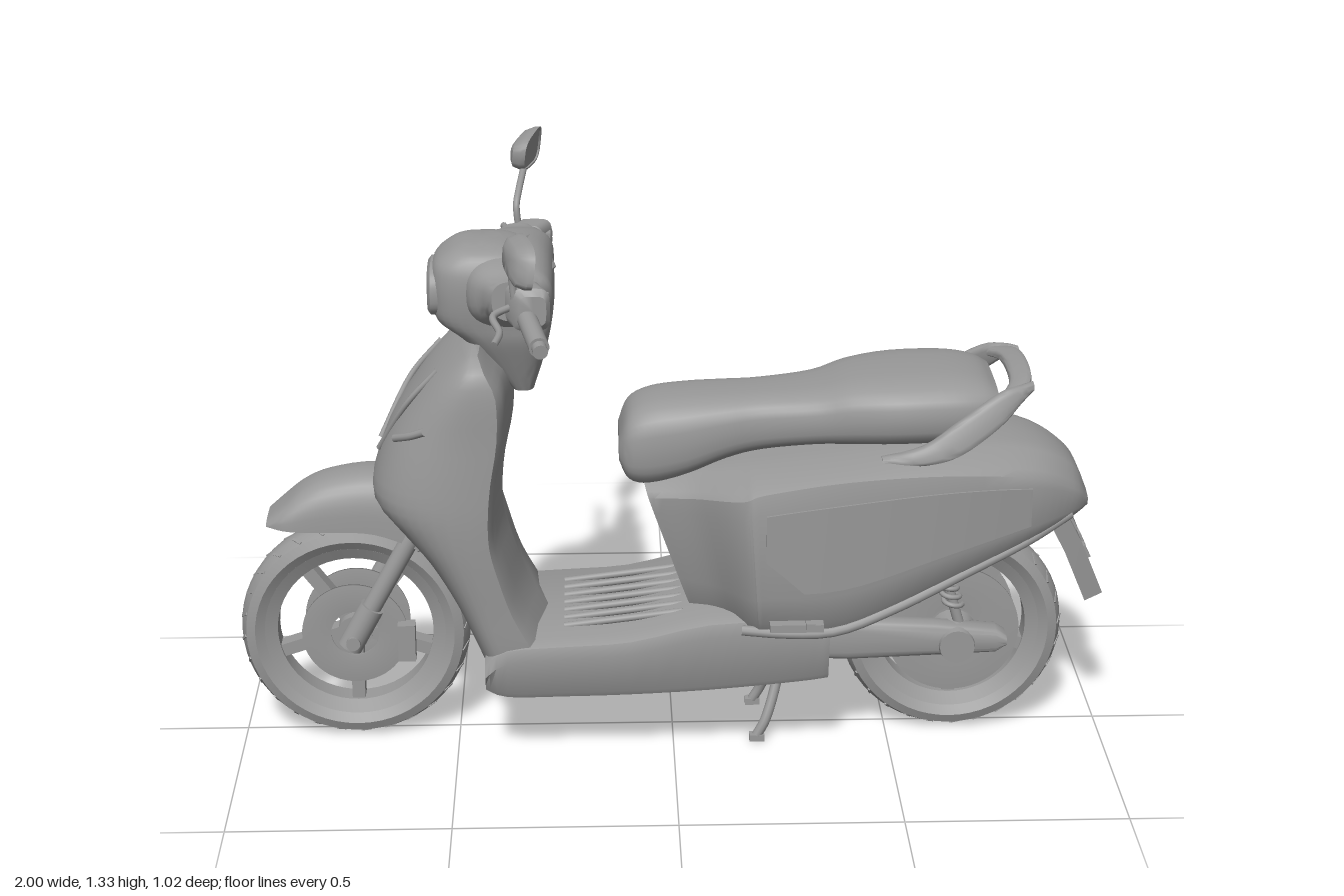
import * as THREE from 'three';
import { toCreasedNormals } from 'three/addons/utils/BufferGeometryUtils.js';

const grey = new THREE.MeshStandardMaterial({ color: 0x999999 });
grey.name = 'grey';
const V = (p) => new THREE.Vector3(...p);

// Capped skin over equal-sized rings of points, always facing outward
function loft(rings, crease = 0.7) {
  const n = rings[0].length, pos = [], idx = [];
  rings.forEach((r) => r.forEach((p) => pos.push(...p)));
  for (let i = 0; i < rings.length - 1; i++) for (let j = 0; j < n; j++) {
    const a = i * n + j, b = i * n + (j + 1) % n;
    idx.push(a, b, a + n, b, b + n, a + n);
  }
  [rings[0], rings[rings.length - 1]].forEach((r, end) => {
    const c = pos.length / 3, base = end ? (rings.length - 1) * n : 0;
    pos.push(...[0, 1, 2].map((k) => r.reduce((t, p) => t + p[k], 0) / n));
    for (let j = 0; j < n; j++) {
      const a = base + j, b = base + (j + 1) % n;
      end ? idx.push(c, a, b) : idx.push(c, b, a);
    }
  });
  const at = (i) => new THREE.Vector3().fromArray(pos, i * 3);
  let volume = 0;
  for (let i = 0; i < idx.length; i += 3) volume += at(idx[i]).dot(at(idx[i + 1]).cross(at(idx[i + 2])));
  if (volume < 0) idx.reverse();
  const g = new THREE.BufferGeometry();
  g.setAttribute('position', new THREE.Float32BufferAttribute(pos, 3));
  g.setIndex(idx);
  return toCreasedNormals(g, crease);
}

// Smooth interpolation between rows of section sizes
function smooth(rows, steps = 4) {
  const out = [], m = rows.length - 1;
  for (let i = 0; i < m; i++) for (let k = 0; k < steps; k++) {
    const t = k / steps, [a, b, c, d] = [rows[Math.max(i - 1, 0)], rows[i], rows[i + 1], rows[Math.min(i + 2, m)]];
    out.push(b.map((v, q) => v + 0.5 * t * (c[q] - a[q] + t * (2 * a[q] - 5 * v + 4 * c[q] - d[q] + t * (3 * (v - c[q]) + d[q] - a[q])))));
  }
  out.push(rows[m]);
  return out;
}

// Points of a rounded-box curve, as [u, v] in -1..1
const oval = (e, n = 32) => Array.from({ length: n }, (_, i) => {
  const a = (i / n) * Math.PI * 2, f = (v) => Math.sign(v) * Math.abs(v) ** e;
  return [f(Math.cos(a)), f(Math.sin(a))];
});
// Quarter of a rounded-box curve, from [1, 0] to [0, 1]
const quarter = (e, n) => Array.from({ length: n + 1 }, (_, i) => {
  const a = (i / n) * Math.PI / 2;
  return [Math.max(0, Math.cos(a)) ** e, Math.sin(a) ** e];
});
// Mirrors a half outline that starts and ends on the centre line
const mirrored = (half) => [...half, ...half.slice(1, -1).reverse().map(([x, y, z]) => [x, y, -z])];
const tube = (pts, r, seg = 24) => new THREE.TubeGeometry(new THREE.CatmullRomCurve3(pts.map(V)), seg, r, 10);
function rod(a, b, r, r2 = r) {
  const p = V(a), q = V(b), d = q.clone().sub(p);
  const g = new THREE.CylinderGeometry(r2, r, d.length(), 20);
  g.applyQuaternion(new THREE.Quaternion().setFromUnitVectors(V([0, 1, 0]), d.normalize()));
  return g.translate(...p.add(q).multiplyScalar(0.5).toArray());
}
const box = (x, y, z, w, h, d) => new THREE.BoxGeometry(w, h, d).translate(x, y, z);
const lathe = (pts) => new THREE.LatheGeometry(pts.map((p) => new THREE.Vector2(...p)), 56).rotateX(Math.PI / 2);

export function createModel() {
  const model = new THREE.Group();
  const add = (name, geometry, parent = model) => {
    const mesh = new THREE.Mesh(geometry, grey);
    mesh.name = name;
    parent.add(mesh);
  };
  const both = (fn) => [1, -1].forEach((s) => fn(s, s > 0 ? 'left' : 'right'));

  // Wheels: tyre with tread, rim, hub, spokes and brake discs
  const wheel = (name, x, R, hub, disc) => {
    const g = new THREE.Group();
    g.name = name;
    g.position.set(x, R, 0);
    model.add(g);
    add('tyre', toCreasedNormals(lathe([[R - 0.062, -0.036], [R - 0.035, -0.053], [R - 0.014, -0.045], [R - 0.003, -0.022], [R, 0],
      [R - 0.003, 0.022], [R - 0.014, 0.045], [R - 0.035, 0.053], [R - 0.062, 0.036], [R - 0.062, -0.036]]), 0.7), g);
    add('rim', toCreasedNormals(lathe([[R - 0.085, -0.026], [R - 0.056, -0.04], [R - 0.056, 0.04], [R - 0.085, 0.026], [R - 0.085, -0.026]]), 0.5), g);
    add('hub', rod([0, 0, -0.045], [0, 0, 0.045], hub), g);
    add('axle', rod([0, 0, -0.11], [0, 0, 0.11], 0.016), g);
    for (let i = 0; i < 5; i++)
      add('spoke', box(0, (R - 0.07) / 2, 0, 0.03, R - 0.07, 0.04).rotateZ((i * Math.PI * 2) / 5 + Math.PI), g);
    both((s) => {
      add('brakeDisc', lathe([[0.055, -0.003], [disc, -0.003], [disc, 0.003], [0.055, 0.003], [0.055, -0.003]]).translate(0, 0, s * 0.047), g);
      for (let i = 0; i < 28; i++) add('tread', box(0, 0, 0, 0.006, 0.004, 0.03).rotateY(s * 0.6).rotateX(s * 0.4)
        .translate(0, R - 0.0075, s * 0.031).rotateZ(((i + s * 0.25) * Math.PI) / 14), g);
    });
  };
  wheel('frontWheel', -0.735, 0.265, 0.04, 0.122);
  wheel('rearWheel', 0.65, 0.258, 0.1, 0.155);

  // Front fork, caliper and fender
  both((s, side) => {
    add(side + 'ForkLeg', rod([-0.735, 0.265, s * 0.075], [-0.56, 0.58, s * 0.075], 0.022));
    add(side + 'ForkFoot', rod([-0.745, 0.245, s * 0.075], [-0.69, 0.345, s * 0.075], 0.029));
  });
  add('caliper', box(-0.615, 0.25, 0.06, 0.04, 0.09, 0.035));
  add('frontFender', loft(smooth([[-0.925, 0.538, 0.55, 0.055], [-0.885, 0.537, 0.585, 0.08], [-0.84, 0.535, 0.622, 0.086], [-0.78, 0.535, 0.648, 0.088],
    [-0.68, 0.53, 0.662, 0.09], [-0.58, 0.49, 0.645, 0.09], [-0.5, 0.43, 0.56, 0.08]]).map(([x, b, t, w]) =>
    mirrored([...quarter(0.65, 9).map(([v, u]) => [x, b + (t - b) * v, w * u]), [x, b, 0]]))));

  // Leg shield: rounded front, shallow back with raised centre
  add('legShield', loft(smooth([[0.985, -0.46, -0.44, -0.425, 0.165], [0.955, -0.5, -0.44, -0.4, 0.21], [0.9, -0.555, -0.44, -0.36, 0.224],
    [0.8, -0.625, -0.44, -0.36, 0.227], [0.7, -0.668, -0.45, -0.38, 0.232], [0.62, -0.68, -0.455, -0.388, 0.235],
    [0.55, -0.625, -0.455, -0.385, 0.234], [0.48, -0.565, -0.445, -0.365, 0.23], [0.38, -0.505, -0.42, -0.33, 0.222],
    [0.28, -0.46, -0.39, -0.27, 0.215], [0.18, -0.42, -0.36, -0.24, 0.2]], 3).map(([y, f, s, b, w]) =>
    mirrored([...quarter(0.8, 11).map(([u, v]) => [s + (f - s) * u, y, w * v]),
      [s + (b - s) * 0.6, y, w * 0.98], [s + (b - s) * 0.75, y, w * 0.88], [s + (b - s) * 0.8, y, w * 0.5], [b, y, 0]]))));
  add('keyLock', rod([-0.4, 0.9, -0.09], [-0.365, 0.91, -0.09], 0.016));
  both((s, side) => {
    add(side + 'FrontSignal', tube([[-0.62, 0.78, s * 0.129], [-0.584, 0.8, s * 0.17], [-0.55, 0.82, s * 0.198]], 0.009));
    add(side + 'FrontTrim', tube([[-0.522, 0.93, s * 0.105], [-0.592, 0.85, s * 0.094], [-0.663, 0.72, s * 0.033]], 0.007));
  });

  // Step-through floor with ribs
  add('floorboard', loft(smooth([[-0.43, 0.19, 0.27], [-0.38, 0.17, 0.305], [-0.25, 0.17, 0.315], [-0.1, 0.173, 0.325], [0.08, 0.182, 0.365],
    [0.28, 0.2, 0.37], [0.35, 0.21, 0.36]], 3).map(([x, b, t]) =>
    mirrored([[x, t, 0], [x, t, 0.19], [x, t - 0.012, 0.217], [x, t - 0.04, 0.225], [x, b + 0.012, 0.204], [x, b, 0.198], [x, b, 0]]))));
  for (let i = -3; i <= 3; i++) add('floorRib', rod([-0.25, 0.314, i * 0.042], [0.02, 0.347, i * 0.042], 0.008));

  // Rear body: x, half width, top, shoulder, bottom, forward lean, wheel arch
  const bodyRows = smooth([[-0.06, 0.115, 0.66, 0.62, 0.34, 0.35, 0], [0.045, 0.17, 0.68, 0.64, 0.335, 0.25, 0], [0.15, 0.268, 0.71, 0.67, 0.335, 0.1, 0],
    [0.2, 0.279, 0.72, 0.69, 0.333, 0.04, 0], [0.38, 0.272, 0.742, 0.715, 0.335, 0, 0.02], [0.6, 0.24, 0.755, 0.715, 0.43, 0, 0.09],
    [0.8, 0.182, 0.735, 0.685, 0.515, 0, 0.05], [0.905, 0.122, 0.68, 0.635, 0.56, 0, 0.01], [0.945, 0.075, 0.605, 0.595, 0.575, 0, 0]], 5);
  add('rearBody', loft(bodyRows.map(([x, w, t, sh, b, lean, arch]) => mirrored([[t, 0], [t, 0.4], [t - (t - sh) * 0.12, 0.58],
    [sh + (t - sh) * 0.3, 0.9], [sh, 0.97], [sh - (sh - b) * 0.12, 1], [b + (sh - b) * 0.3, 0.99], [b + (sh - b) * 0.12, 0.94], [b, 0.84],
    [b + arch, 0.5], [b + arch, 0]].map(([y, k]) => [x + lean * (0.63 - y), y, w * k]))), 0.5));

  // Raised side panels and lower trim that follow the body
  const section = (x) => {
    const i = Math.max(1, bodyRows.findIndex((r) => r[0] >= x)), a = bodyRows[i - 1], b = bodyRows[i];
    return a.map((v, k) => v + (b[k] - v) * (x - a[0]) / (b[0] - a[0]));
  };
  both((s, side) => {
    add(side + 'SidePanel', loft(Array.from({ length: 15 }, (_, i) => {
      const x = 0.2 + (i / 14) * 0.6, [, w, , sh, b] = section(x), e = Math.min(1, i / 2);
      const top = sh - (sh - b) * 0.13, low = b + (sh - b) * (0.56 - 0.22 * e), z = w + 0.005;
      return [[x, top, s * z], [x, low, s * z], [x, low, s * (z - 0.02)], [x, top, s * (z - 0.02)]];
    })));
    add(side + 'LowerTrim', tube([0.15, 0.25, 0.36, 0.5, 0.65, 0.8, 0.9].map((x) => {
      const [, w, , , b] = section(x);
      return [x, b + 0.015, s * w * 0.89];
    }), 0.012));
    add(side + 'FootPeg', box(0.27, 0.375, s * 0.265, 0.12, 0.018, 0.05));
    add(side + 'PegTip', box(0.3, 0.382, s * 0.285, 0.02, 0.014, 0.02));
  });

  // Seat
  add('seat', loft(smooth([[-0.122, 0.69, 0.75, 0.08], [-0.1, 0.645, 0.805, 0.107], [-0.05, 0.635, 0.832, 0.118], [0.03, 0.655, 0.842, 0.12],
    [0.12, 0.695, 0.846, 0.113], [0.2, 0.715, 0.85, 0.108], [0.32, 0.73, 0.862, 0.125], [0.4, 0.735, 0.885, 0.15], [0.5, 0.74, 0.897, 0.172],
    [0.62, 0.745, 0.9, 0.17], [0.69, 0.76, 0.89, 0.155], [0.725, 0.81, 0.87, 0.13]]).map(([x, b, t, w]) =>
    oval(0.65).map(([u, v]) => [x, (b + t) / 2 + v * (t - b) / 2, u * w]))));

  // Grab rail: tall thin blades joined by a flat bar
  both((s, side) => add(side + 'GrabBlade', loft(smooth([[0.46, 0.735, 0.185, 0.008], [0.55, 0.752, 0.2, 0.02], [0.63, 0.79, 0.195, 0.037],
    [0.72, 0.847, 0.17, 0.036], [0.77, 0.875, 0.145, 0.018], [0.8, 0.885, 0.12, 0.008]]).map(([x, y, z, h]) =>
    oval(0.6, 16).map(([u, v]) => [x, y + v * h, s * (z + u * 0.014 - v * h * 0.3)])))));
  add('grabBar', loft(smooth([[-0.14, 0.755, 0.876], [-0.09, 0.775, 0.884], [0, 0.78, 0.888], [0.09, 0.775, 0.884], [0.14, 0.755, 0.876]]).map(([z, x, y]) =>
    oval(0.6, 16).map(([u, v]) => [x + u * 0.025, y + v * 0.012 + u * 0.004, z]))));

  // Rear mudguard with tail light, plate and reflectors
  const tilt = (x, y, hw) => [[x - 0.03, y - 0.012, -hw], [x - 0.03, y - 0.012, hw], [x + 0.01, y + 0.008, hw], [x + 0.01, y + 0.008, -hw]];
  add('rearMudguard', loft([tilt(0.875, 0.575, 0.075), tilt(0.93, 0.47, 0.066), tilt(0.985, 0.34, 0.054)]));
  add('tailLight', box(0, 0, 0, 0.012, 0.045, 0.08).rotateZ(0.48).translate(0.918, 0.52, 0));
  both((s, side) => add(side + 'Reflector', box(0, 0, 0, 0.014, 0.032, 0.026).rotateZ(0.45).translate(0.951, 0.448, s * 0.036)));

  // Swing arms, shock absorbers and drive covers
  both((s, side) => {
    add(side + 'SwingArm', loft([[0.31, 0.265, 0.04], [0.4, 0.27, 0.05], [0.6, 0.268, 0.04], [0.74, 0.265, 0.03], [0.765, 0.265, 0.012]].map(([x, y, h]) =>
      oval(0.5, 20).map(([u, v]) => [x, y + v * h, s * 0.11 + u * 0.03]))));
    add(side + 'DriveCover', rod([0.65, 0.258, s * 0.06], [0.65, 0.258, s * 0.15], 0.055, 0.04));
    const foot = V([0.66, 0.29, s * 0.1]), head = V([0.58, 0.56, s * 0.1]);
    add(side + 'Shock', rod(foot.toArray(), head.toArray(), 0.012));
    const coil = Array.from({ length: 73 }, (_, i) => {
      const a = (i / 72) * Math.PI * 18, p = foot.clone().lerp(head, 0.2 + (i / 72) * 0.7);
      return [p.x + 0.02 * Math.cos(a), p.y, p.z + 0.02 * Math.sin(a)];
    });
    add(side + 'Spring', tube(coil, 0.006, 180));
    // Centre stand legs
    add(side + 'StandLeg', tube([[0.25, 0.21, s * 0.04], [0.245, 0.15, s * 0.055], [0.215, 0.05, s * 0.09], [0.195, 0.012, s * 0.095]], 0.012));
    add(side + 'StandFoot', box(0.195, 0.008, s * 0.095, 0.035, 0.016, 0.022));
  });
  add('standBar', rod([0.247, 0.17, -0.055], [0.247, 0.17, 0.055], 0.012));

  // Headlight cowl, crosswise handlebar cover and dash
  add('headlightCowl', loft(smooth([[0.86, -0.36, -0.31, 0.05], [0.93, -0.42, -0.288, 0.08], [0.99, -0.475, -0.273, 0.104], [1.03, -0.525, -0.266, 0.112],
    [1.08, -0.535, -0.262, 0.12], [1.13, -0.535, -0.264, 0.122], [1.165, -0.525, -0.285, 0.115], [1.192, -0.49, -0.34, 0.095],
    [1.203, -0.46, -0.38, 0.05]]).map(([y, f, b, w]) => oval(0.65).map(([u, v]) => [(f + b) / 2 + u * (b - f) / 2, y, v * w]))));
  add('handlebarCover', loft(smooth([[-0.215, 1.125, 0.05, 0.045], [-0.18, 1.12, 0.07, 0.052], [-0.12, 1.11, 0.095, 0.075], [0, 1.11, 0.1, 0.085],
    [0.12, 1.11, 0.095, 0.075], [0.18, 1.12, 0.07, 0.052], [0.215, 1.125, 0.05, 0.045]]).map(([z, y, hx, hy]) =>
    oval(0.75).map(([u, v]) => [-0.345 + u * hx - Math.max(0, hx - 0.08) * 0.9, y + v * hy, z]))));
  add('headlight', loft([[-0.5, 1], [-0.535, 1], [-0.542, 0.85]].map(([x, k]) => oval(0.75).map(([u, v]) => [x, 1.095 + v * 0.06 * k, u * 0.085 * k]))));
  add('dash', new THREE.CylinderGeometry(0.1, 0.1, 0.02, 6).rotateY(Math.PI / 6).scale(0.5, 1, 1).rotateZ(-0.72).translate(-0.302, 1.16, 0));

  // Grips, switches, levers and mirrors
  both((s, side) => {
    add(side + 'Bar', rod([-0.335, 1.11, s * 0.16], [-0.29, 1.085, s * 0.41], 0.014));
    add(side + 'Grip', rod([-0.318, 1.1, s * 0.26], [-0.291, 1.087, s * 0.405], 0.022));
    add(side + 'GripEnd', rod([-0.291, 1.087, s * 0.405], [-0.288, 1.085, s * 0.43], 0.016));
    add(side + 'SwitchBox', loft([[0.19, 0.7], [0.2, 1], [0.255, 1], [0.268, 0.7]].map(([z, k]) =>
      oval(0.5, 20).map(([u, v]) => [-0.4 + z * 0.35 + u * 0.042 * k, 1.12 + v * 0.048 * k, s * z]))));
    add(side + 'Switch', box(-0.278, 1.135, s * 0.225, 0.012, 0.02, 0.025));
    add(side + 'Lever', tube([[-0.35, 1.12, s * 0.23], [-0.39, 1.115, s * 0.28], [-0.375, 1.105, s * 0.36], [-0.385, 1.1, s * 0.425]], 0.008));
    add(side + 'MirrorStem', tube([[-0.345, 1.14, s * 0.25], [-0.35, 1.2, s * 0.255], [-0.345, 1.225, s * 0.285], [-0.335, 1.255, s * 0.36]], 0.008));
    add(side + 'Mirror', loft([[-0.03, 0.55], [-0.02, 0.85], [0, 1], [0.012, 1], [0.012, 0.92], [0.008, 0.9]].map(([dx, k]) => oval(0.55).map(([u, v]) => {
      const h = v * (0.042 + 0.005 * u) * k, c = u * 0.086 * k - v * 0.008;
      return [-0.325 + dx + c * 0.2 + h * 0.15, 1.285 + h - c * 0.02, s * (0.424 + c)];
    }))));
  });
  return model;
}
